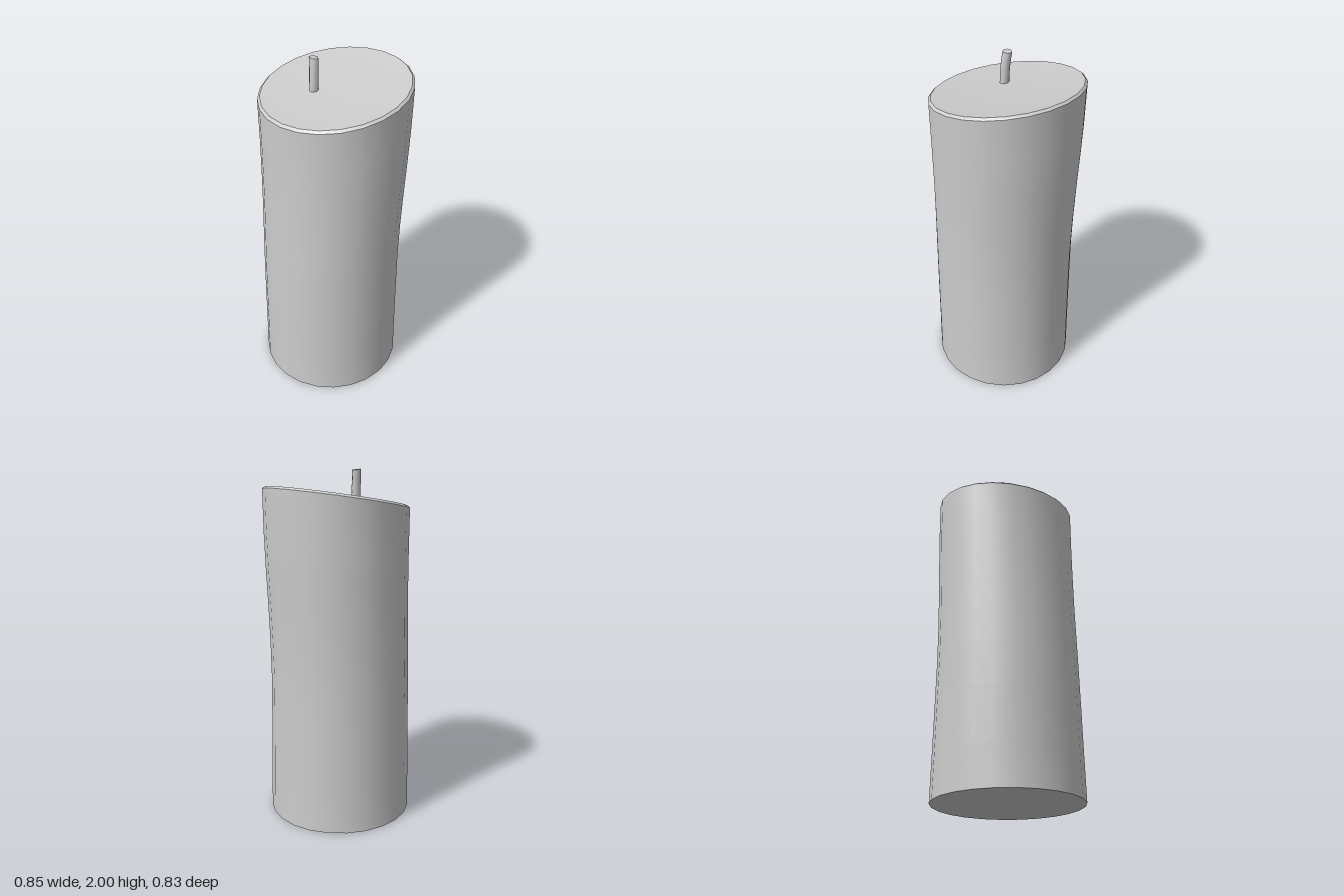
import * as THREE from 'three';
import { toCreasedNormals } from 'three/addons/utils/BufferGeometryUtils.js';

const material = new THREE.MeshStandardMaterial({ color: 0xcccccc });

// Move every vertex of a geometry by a rule
function deform(geometry, rule) {
  const pos = geometry.attributes.position;
  const v = new THREE.Vector3();
  for (let i = 0; i < pos.count; i++) {
    v.fromBufferAttribute(pos, i);
    rule(v);
    pos.setXYZ(i, v.x, v.y, v.z);
  }
  return geometry;
}

function addPart(group, name, geometry, crease) {
  const mesh = new THREE.Mesh(toCreasedNormals(geometry, crease), material);
  mesh.name = name;
  group.add(mesh);
}

export function createModel() {
  const group = new THREE.Group();
  group.name = 'candle';

  // Wax: closed profile with a flat base, slim waist, bevelled rim and dished top
  const profile = [
    [0, 0], [0.419, 0], [0.413, 0.25], [0.407, 0.55], [0.402, 0.8], [0.4, 1.0],
    [0.4, 1.2], [0.402, 1.4], [0.404, 1.6], [0.405, 1.838],
    [0.392, 1.85], [0.34, 1.845], [0.26, 1.84], [0.15, 1.837], [0, 1.836],
  ].map(([r, y]) => new THREE.Vector2(r, y));
  const wax = deform(new THREE.LatheGeometry(profile, 24), (v) => {
    const t = v.y / 1.85;
    v.x += -0.012 + 0.028 * THREE.MathUtils.smoothstep(t, 0.35, 0.95); // sideways sag
    v.z *= 0.99 + 0.04 * t;
    v.y += 0.162 * v.x * t; // slanted top
  });
  addPart(group, 'waxBody', wax, 0.5);

  // Wick: short bent cylinder
  const wick = deform(new THREE.CylinderGeometry(0.025, 0.025, 0.18, 8, 4), (v) => {
    const t = v.y / 0.18 + 0.5;
    v.y += 1.908 - 0.12 * v.x * t;
    v.x += -0.073 + 0.008 * t * t;
    v.z += -0.066 - 0.013 * t * t;
  });
  addPart(group, 'wick', wick, 0.9);

  return group;
}
